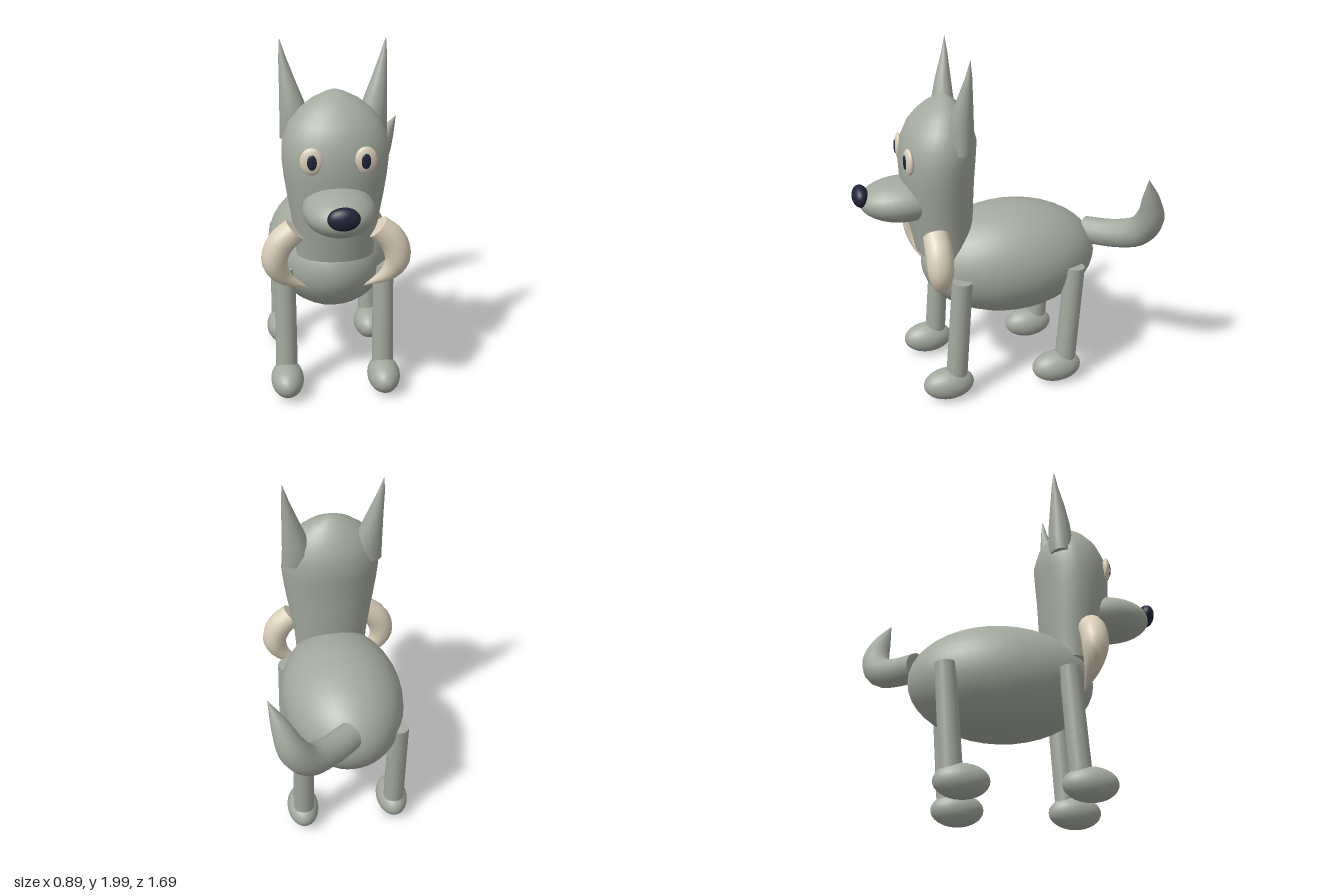
import * as THREE from 'three';
import { toCreasedNormals } from 'three/addons/utils/BufferGeometryUtils.js';

const MID = -0.05; // the body's own centre line, shifted aside by the tail

const mat = (name, color) => {
  const m = new THREE.MeshStandardMaterial({ color });
  m.name = name;
  return m;
};

// Stack of elliptical rings, top down: [y, centreX, halfWidth, backZ, frontZ]
function stack(rows, sides) {
  const g = new THREE.CylinderGeometry(1, 1, 1, sides, rows.length - 1, true);
  const p = g.attributes.position;
  for (let i = 0; i < p.count; i++) {
    const [y, cx, w, back, front] = rows[Math.floor(i / (sides + 1))];
    p.setXYZ(i, cx + w * p.getX(i), y, (front + back) / 2 + p.getZ(i) * (front - back) / 2);
  }
  return toCreasedNormals(g, 1);
}

// Bent tube with a closed start and a changing radius; points are [x, y, z, radius]
function horn(points, n = 18, sides = 14) {
  const curve = new THREE.CatmullRomCurve3(points.map(([x, y, z]) => new THREE.Vector3(x, y, z)));
  const radii = new THREE.CatmullRomCurve3(points.map((q) => new THREE.Vector3(q[3], 0, 0)));
  const frames = curve.computeFrenetFrames(n - 1, false);
  const g = new THREE.CylinderGeometry(1, 1, 1, sides, n, true);
  const p = g.attributes.position, v = new THREE.Vector3();
  for (let i = 0; i < p.count; i++) {
    const row = Math.floor(i / (sides + 1)), k = Math.max(row - 1, 0);
    const t = curve.getUtoTmapping(k / (n - 1));
    const r = row === 0 || row === n ? 0 : radii.getPoint(t).x;
    v.copy(curve.getPoint(t))
      .addScaledVector(frames.normals[k], r * p.getX(i))
      .addScaledVector(frames.binormals[k], r * p.getZ(i));
    p.setXYZ(i, v.x, v.y, v.z);
  }
  return toCreasedNormals(g, 1);
}

export function createModel() {
  const model = new THREE.Group();
  model.name = 'dog';
  const fur = mat('grey fur', 0xa3a99d);
  const cream = mat('cream', 0xd9ceb9);
  const dark = mat('dark', 0x23233a);

  const add = (name, geometry, material, parent = model) => {
    const m = new THREE.Mesh(geometry, material);
    m.name = name;
    parent.add(m);
    return m;
  };
  const ball = (name, material, parent, x, y, z, rx, ry, rz, w = 24, h = 16) => {
    const m = add(name, new THREE.SphereGeometry(1, w, h).rotateX(Math.PI / 2), material, parent);
    m.position.set(x, y, z);
    m.scale.set(rx, ry, rz);
    return m;
  };

  // Everything symmetric sits on the centre line
  const dog = new THREE.Group();
  dog.name = 'symmetricParts';
  dog.position.x = MID;
  model.add(dog);

  ball('body', fur, dog, 0, 0.745, -0.047, 0.352, 0.327, 0.517, 32, 20);

  // Head and neck in one tapering column
  add('head', stack([
    [1.75, 0, 0, 0.32, 0.32],
    [1.735, 0, 0.05, 0.285, 0.36],
    [1.7, 0, 0.125, 0.245, 0.42],
    [1.65, 0, 0.19, 0.21, 0.475],
    [1.59, 0, 0.24, 0.175, 0.525],
    [1.5, 0, 0.277, 0.15, 0.565],
    [1.4, 0, 0.282, 0.157, 0.58],
    [1.3, 0, 0.272, 0.165, 0.575],
    [1.2, 0, 0.257, 0.17, 0.565],
    [1.05, 0, 0.232, 0.175, 0.54],
    [0.95, 0, 0.217, 0.185, 0.52],
    [0.85, 0, 0.21, 0.2, 0.5],
    [0.85, 0, 0, 0.35, 0.35],
  ], 32), fur, dog);

  ball('muzzle', fur, dog, 0, 1.17, 0.56, 0.19, 0.122, 0.25);
  ball('nose', dark, dog, 0, 1.21, 0.8, 0.083, 0.061, 0.046);

  const ear = stack([
    [2, 0.277, 0, 0.24, 0.24],
    [1.9, 0.263, 0.02, 0.228, 0.265],
    [1.78, 0.24, 0.043, 0.22, 0.305],
    [1.66, 0.216, 0.068, 0.212, 0.337],
    [1.56, 0.2, 0.084, 0.21, 0.35],
    [1.48, 0.195, 0.09, 0.22, 0.34],
    [1.48, 0.195, 0, 0.28, 0.28],
  ], 16);
  const tusk = horn([
    [0.22, 1.02, 0.435, 0.07],
    [0.3, 0.945, 0.435, 0.075],
    [0.332, 0.845, 0.435, 0.072],
    [0.29, 0.75, 0.425, 0.048],
    [0.15, 0.66, 0.4, 0],
  ]);
  // Mirrored copy with corner order reversed
  const mirror = (g) => {
    const m = g.clone().scale(-1, 1, 1);
    for (const a of Object.values(m.attributes)) {
      const s = a.itemSize;
      for (let i = 0; i < a.count; i += 3) {
        for (let c = 0; c < s; c++) {
          const j = (i + 1) * s + c, t = a.array[j];
          a.array[j] = a.array[j + s];
          a.array[j + s] = t;
        }
      }
    }
    return m;
  };

  for (const [side, s] of [['left', 1], ['right', -1]]) {
    add(side + 'Ear', s > 0 ? ear : mirror(ear), fur, dog);
    add(side + 'Tusk', s > 0 ? tusk : mirror(tusk), cream, dog);
    const eye = ball(side + 'Eye', cream, dog, s * 0.138, 1.43, 0.55, 0.06, 0.073, 0.024);
    eye.rotation.y = s * 0.12;
    const pupil = ball(side + 'Pupil', dark, dog, s * 0.138, 1.43, 0.571, 0.025, 0.041, 0.007);
    pupil.rotation.y = s * 0.12;

    // Slanted legs with egg-shaped paws
    for (const [end, top, bottom, paw] of [
      ['Front', 0.302, 0.345, 0.393], ['Hind', -0.363, -0.318, -0.265],
    ]) {
      const leg = add(side + end + 'Leg', new THREE.CylinderGeometry(0.058, 0.061, 0.6, 16), fur, dog);
      leg.position.set(s * 0.273, 0.445, (top + bottom) / 2);
      leg.rotation.x = -Math.atan((bottom - top) / 0.6);
      ball(side + end + 'Paw', fur, dog, s * 0.273, 0.1, paw, 0.092, 0.093, 0.147);
    }
  }

  // Tail swings out to the left and curls up to a point
  add('tail', horn([
    [-0.01, 0.855, -0.515, 0.08],
    [0.13, 0.875, -0.64, 0.083],
    [0.25, 0.93, -0.735, 0.086],
    [0.33, 1.04, -0.765, 0.08],
    [0.385, 1.18, -0.735, 0.05],
    [0.44, 1.32, -0.69, 0],
  ], 22), fur);

  return model;
}
